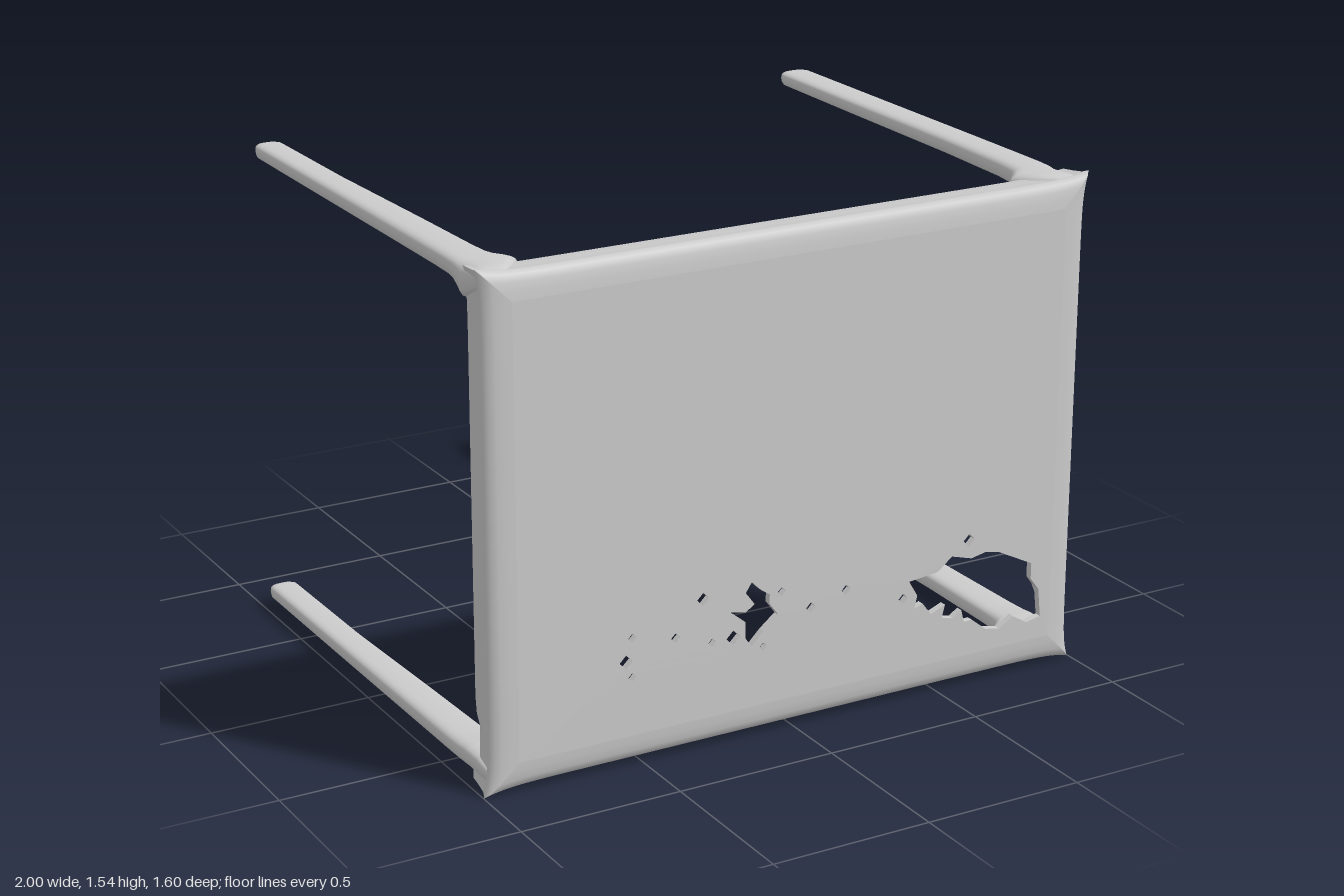
import * as THREE from 'three';

const mat = new THREE.MeshStandardMaterial({ color: 0xcccccc, side: THREE.DoubleSide });
const X = 0.98, Y0 = 0.02, Y1 = 1.525;
const CY = (Y0 + Y1) / 2, H = (Y1 - Y0) / 2;

// Skin a grid of points; rows may close on themselves in either direction
function skin(rows, wrapI, wrapJ) {
  const n = rows.length, m = rows[0].length, idx = [];
  for (let i = 0; i < (wrapI ? n : n - 1); i++) {
    for (let j = 0; j < (wrapJ ? m : m - 1); j++) {
      const i2 = (i + 1) % n, j2 = (j + 1) % m;
      const a = i * m + j, b = i * m + j2, c = i2 * m + j, d = i2 * m + j2;
      idx.push(a, b, c, b, d, c);
    }
  }
  const g = new THREE.BufferGeometry();
  g.setAttribute('position', new THREE.Float32BufferAttribute(rows.flat(2), 3));
  g.setIndex(idx);
  g.computeVertexNormals();
  return g;
}

function add(group, geometry, name) {
  const mesh = new THREE.Mesh(geometry, mat);
  mesh.name = name;
  group.add(mesh);
}

// Thin panel with worn-through holes
function panelGeometry() {
  const poly = pts => pts.map(([x, y]) => new THREE.Vector2(x, y));
  const w = X - 0.08, b = Y0 + 0.08, t = Y1 - 0.08;
  const shape = new THREE.Shape(poly([[-w, b], [w, b], [w, t], [-w, t]]));
  const largeHole = [
    [.39, .38], [.49, .39], [.54, .43], [.61, .41], [.66, .42], [.71, .41], [.77, .38], [.83, .35], [.83, .30],
    [.86, .26], [.87, .17], [.82, .16], [.77, .19], [.72, .16], [.67, .17], [.62, .21], [.59, .21], [.58, .25],
    [.55, .23], [.51, .24], [.52, .28], [.47, .26], [.44, .30], [.41, .29], [.42, .33]];
  const midHole = [
    [-.15, .49], [-.12, .46], [-.09, .44], [-.09, .41], [-.06, .37], [-.11, .33], [-.15, .29],
    [-.17, .32], [-.17, .37], [-.22, .41], [-.17, .40], [-.14, .42], [-.17, .46]];
  const pinholes = [
    [-.31, .47, .02], [-.54, .40, .013], [-.40, .37, .015], [-.56, .33, .021], [-.54, .28, .013],
    [-.28, .33, .013], [-.21, .33, .023], [-.11, .28, .013], [-.05, .44, .014], [.05, .37, .016],
    [.17, .40, .016], [.37, .33, .016], [.60, .47, .02]];
  const diamonds = pinholes.map(([x, y, r]) => [[x - r, y], [x, y + r], [x + r, y], [x, y - r]]);
  for (const h of [largeHole, midHole, ...diamonds]) shape.holes.push(new THREE.Path(poly(h)));
  return new THREE.ExtrudeGeometry(shape, { depth: 0.022, bevelEnabled: false }).translate(0, 0, 0.775);
}

// Rounded rim: one cross-section (inset, z) swept round the rectangle
function rimGeometry() {
  const profile = [
    [.08, .797], [.055, .795], [.03, .791], [.01, .784], [0, .77], [.006, .75], [.01, .71], [.013, .67],
    [.022, .645], [.038, .635], [.052, .645], [.058, .68], [.062, .72], [.07, .755], [.085, .775]];
  const rows = [], n = 48;
  const corners = [[-1, -1], [1, -1], [1, 1], [-1, 1]];
  corners.forEach(([u0, v0], s) => {
    const [u1, v1] = corners[(s + 1) % 4];
    for (let k = 0; k < n; k++) {
      const t = 0.5 - 0.5 * Math.cos(Math.PI * k / n);
      const u = u0 + (u1 - u0) * t, v = v0 + (v1 - v0) * t;
      // corners flare outwards
      const flare = 0.018 * Math.exp(-(1 - Math.min(Math.abs(u), Math.abs(v))) / 0.05);
      rows.push(profile.map(([d, z]) => {
        const e = d - flare * Math.max(0, 1 - d / 0.06);
        const x = u * (X - e), y = CY + v * (H - e);
        // side rims are worn away above the lower corners
        if (s % 2 === 1 && y > 0.085 && y < 0.24) {
          const worn = u > 0 ? 0.74 : 0.69;
          z = Math.max(z, Math.min(worn, 0.64 + (0.24 - y) * 1.3));
        }
        return [x, y, z];
      }));
    }
  });
  return skin(rows, true, false);
}

// Leg: rounded sections that swell into the corner of the rim
function legGeometry(side, top) {
  const tip = side < 0 && !top ? -0.8 : -0.77;
  const w0 = side < 0 ? 0.09 : 0.108;
  // z, width, thickness, end rounding
  const stations = [
    [tip, w0, .045, .02], [tip, w0, .045, .6], [tip + .012, w0, .047, .85], [tip + .035, w0, .05, 1],
    [-.3, w0 + .004, .053, 1], [.2, .113, .057, 1], [.5, .122, .06, 1], [.57, .128, .063, 1],
    [.605, .14, .07, 1], [.63, .165, .09, 1], [.65, .18, .11, 1], [.69, .15, .09, 1], [.75, .1, .06, 1], [.76, .1, .06, .02]];
  const rows = stations.map(([z, w, th, k]) => {
    const t = top ? th : Math.min(th, 0.068);
    const cx = side * (0.984 - w / 2), cy = top ? 1.53 - t / 2 : 0.03 + t / 2;
    const ring = [];
    for (let i = 0; i < 20; i++) {
      const a = i / 20 * Math.PI * 2, c = Math.cos(a), s = Math.sin(a);
      ring.push([
        cx + Math.sign(c) * Math.abs(c) ** 0.6 * k * w / 2,
        cy + Math.sign(s) * Math.abs(s) ** 0.6 * k * t / 2, z]);
    }
    return ring;
  });
  return skin(rows, false, true);
}

export function createModel() {
  const model = new THREE.Group();
  model.name = 'tippedTable';
  add(model, panelGeometry(), 'tabletopPanel');
  add(model, rimGeometry(), 'tabletopRim');
  for (const side of [-1, 1]) {
    for (const top of [false, true]) {
      add(model, legGeometry(side, top), (top ? 'upper' : 'lower') + (side > 0 ? 'Left' : 'Right') + 'Leg');
    }
  }
  return model;
}
